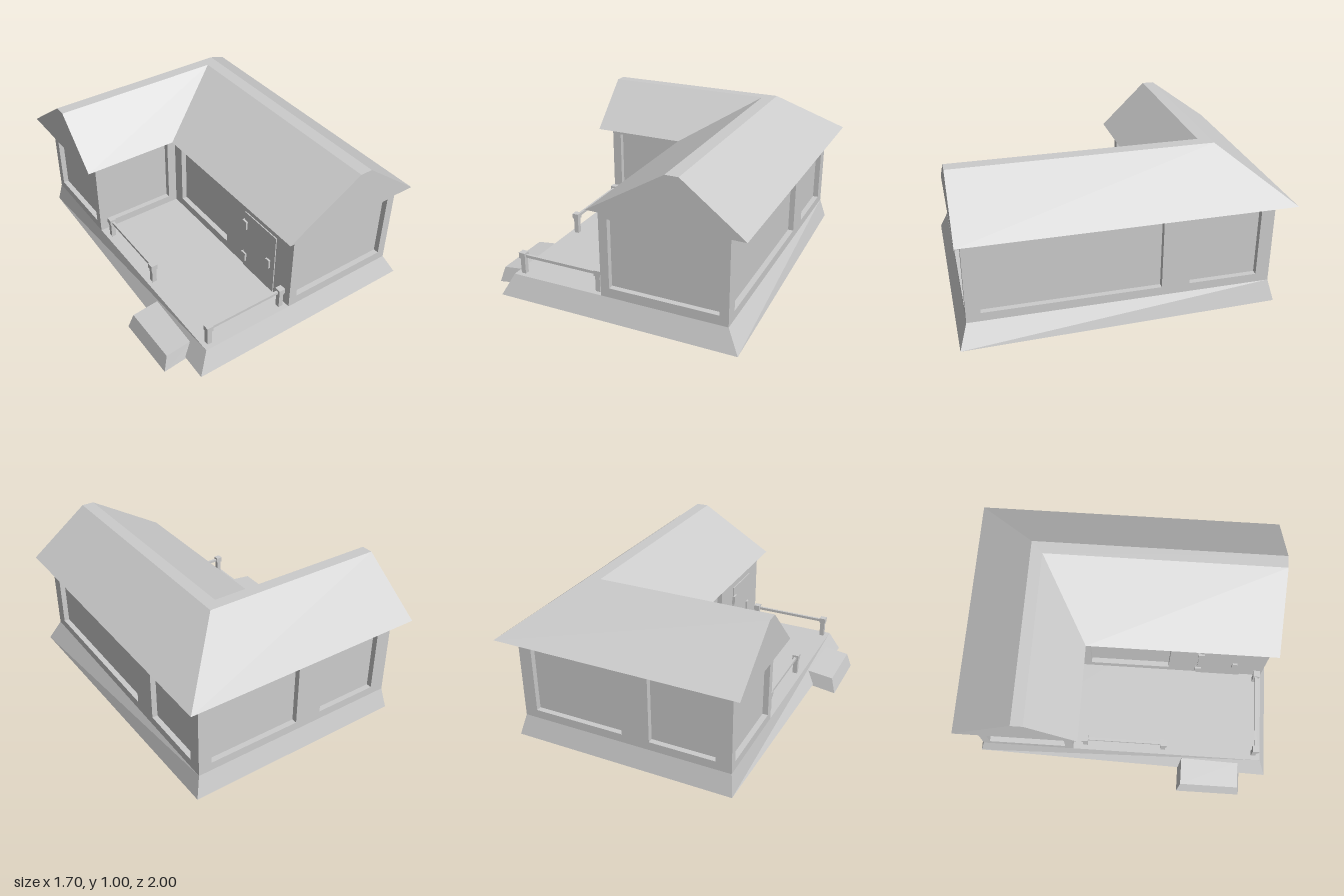
import * as THREE from 'three';

const material = new THREE.MeshStandardMaterial({ color: 0xcccccc, flatShading: true });

function add(parent, name, geometry, x = 0, y = 0, z = 0) {
  const mesh = new THREE.Mesh(geometry, material);
  mesh.name = name;
  mesh.position.set(x, y, z);
  parent.add(mesh);
  return mesh;
}

// Closed solid between two outlines, both anticlockwise seen from above.
// Caps fan out from the last corner, so an L shape ends on its inner corner.
function loft(bottom, top) {
  const n = bottom.length;
  const out = [];
  const tri = (...corners) => corners.forEach((c) => out.push(...c));
  for (let i = 0; i < n; i++) {
    const j = (i + 1) % n;
    tri(bottom[i], bottom[j], top[j]);
    tri(bottom[i], top[j], top[i]);
  }
  for (let i = 0; i < n - 2; i++) {
    tri(top[n - 1], top[i], top[i + 1]);
    tri(bottom[n - 1], bottom[i + 1], bottom[i]);
  }
  const geometry = new THREE.BufferGeometry();
  geometry.setAttribute('position', new THREE.Float32BufferAttribute(out, 3));
  geometry.computeVertexNormals();
  return geometry;
}

const atHeight = (y, outline) => outline.map(([x, z]) => [x, y, z]);

const FLOOR = 0.165, EAVE = 0.71, RIDGE = 1.0, RECESS = 0.035;

// Wall slab from one corner to the next, with window openings [start, end, bottom, top]
function addWall(parent, name, [x0, z0], [x1, z1], openings) {
  const length = Math.hypot(x1 - x0, z1 - z0);
  const shape = new THREE.Shape();
  shape.moveTo(0, FLOOR).lineTo(length, FLOOR).lineTo(length, EAVE).lineTo(0, EAVE).closePath();
  for (const [a, b, low, high] of openings) {
    const hole = new THREE.Path();
    hole.moveTo(a, low).lineTo(a, high).lineTo(b, high).lineTo(b, low).closePath();
    shape.holes.push(hole);
  }
  const geometry = new THREE.ExtrudeGeometry(shape, { depth: RECESS, bevelEnabled: false });
  geometry.translate(0, 0, -RECESS);
  const wall = add(parent, name, geometry, x0, 0, z0);
  wall.rotation.y = Math.atan2(z0 - z1, x1 - x0);
}

function addPost(parent, x, z) {
  const post = new THREE.Group();
  post.name = 'railPost';
  post.position.set(x, FLOOR, z);
  add(post, 'postShaft', new THREE.BoxGeometry(0.03, 0.11, 0.03), 0, 0.055, 0);
  add(post, 'postCap', new THREE.BoxGeometry(0.042, 0.035, 0.042), 0, 0.12, 0);
  parent.add(post);
}

export function createModel() {
  const house = new THREE.Group();
  house.name = 'house';

  // Sloping foundation, its top being the porch deck
  add(house, 'foundation', loft(
    atHeight(0.03, [[-0.71, 1], [0.82, 1], [0.78, -0.94], [-0.66, -0.94]]),
    atHeight(FLOOR, [[-0.64, 0.95], [0.745, 0.95], [0.745, -0.905], [-0.64, -0.905]])
  ));

  // Slightly tilted entrance step
  add(house, 'step', loft(
    [[-0.85, 0, 0.83], [-0.62, 0.03, 0.83], [-0.62, 0.03, 0.41], [-0.85, 0, 0.41]],
    [[-0.82, 0.1, 0.81], [-0.65, 0.12, 0.81], [-0.65, 0.12, 0.43], [-0.82, 0.1, 0.43]]
  ));

  // L-shaped walls around a core that forms the window panes
  const walls = new THREE.Group();
  walls.name = 'walls';
  house.add(walls);
  const corners = [[-0.04, 0.95], [0.745, 0.95], [0.745, -0.905], [-0.64, -0.905], [-0.64, -0.3], [-0.04, -0.3]];
  const r = RECESS;
  const inner = [[-0.04 + r, 0.95 - r], [0.745 - r, 0.95 - r], [0.745 - r, -0.905 + r],
    [-0.64 + r, -0.905 + r], [-0.64 + r, -0.3 - r], [-0.04 + r, -0.3 - r]];
  add(walls, 'windowPanes', loft(atHeight(FLOOR, inner), atHeight(EAVE, inner)));
  const sides = [
    ['frontWall', [[0.055, 0.73, 0.225, 0.66]]],
    ['leftWall', [[0.085, 1.165, 0.22, 0.67], [1.34, 1.77, 0.22, 0.67]]],
    ['backWall', [[0.085, 0.685, 0.22, 0.67], [0.865, 1.285, 0.22, 0.67]]],
    ['rightWall', [[0.05, 0.555, 0.22, 0.67]]],
    ['porchBackWall', [[0.06, 0.54, 0.215, 0.67]]],
    ['porchSideWall', [[0.08, 0.61, 0.22, 0.67]]],
  ];
  sides.forEach(([name, openings], i) => addWall(walls, name, corners[i], corners[(i + 1) % 6], openings));

  // L-shaped roof with narrow flat ridges, two gables and one hip
  add(house, 'roof', loft(
    atHeight(EAVE, [[-0.1, 0.985], [0.845, 0.985], [0.845, -1], [-0.715, -1], [-0.715, -0.235], [-0.1, -0.235]]),
    atHeight(RIDGE, [[0.385, 0.985], [0.465, 0.985], [0.465, -0.605], [-0.715, -0.605], [-0.715, -0.53], [0.385, -0.53]])
  ));

  // Door with two hinges and a handle
  const door = new THREE.Group();
  door.name = 'door';
  house.add(door);
  add(door, 'doorLeaf', new THREE.BoxGeometry(0.02, 0.435, 0.3), -0.037, 0.383, 0.65);
  for (const y of [0.51, 0.25]) add(door, 'hinge', new THREE.BoxGeometry(0.025, 0.06, 0.04), -0.047, y, 0.51);
  add(door, 'handle', new THREE.BoxGeometry(0.025, 0.06, 0.035), -0.047, 0.37, 0.745);

  // Porch railings, leaving a gap at the step
  const railing = new THREE.Group();
  railing.name = 'porchRailing';
  house.add(railing);
  for (const [x, z] of [[-0.595, -0.22], [-0.595, 0.3], [-0.595, 0.905], [-0.078, 0.905]]) addPost(railing, x, z);
  add(railing, 'sideRail', new THREE.BoxGeometry(0.016, 0.018, 0.52), -0.595, 0.281, 0.04);
  add(railing, 'frontRail', new THREE.BoxGeometry(0.517, 0.018, 0.016), -0.336, 0.281, 0.905);

  return house;
}
